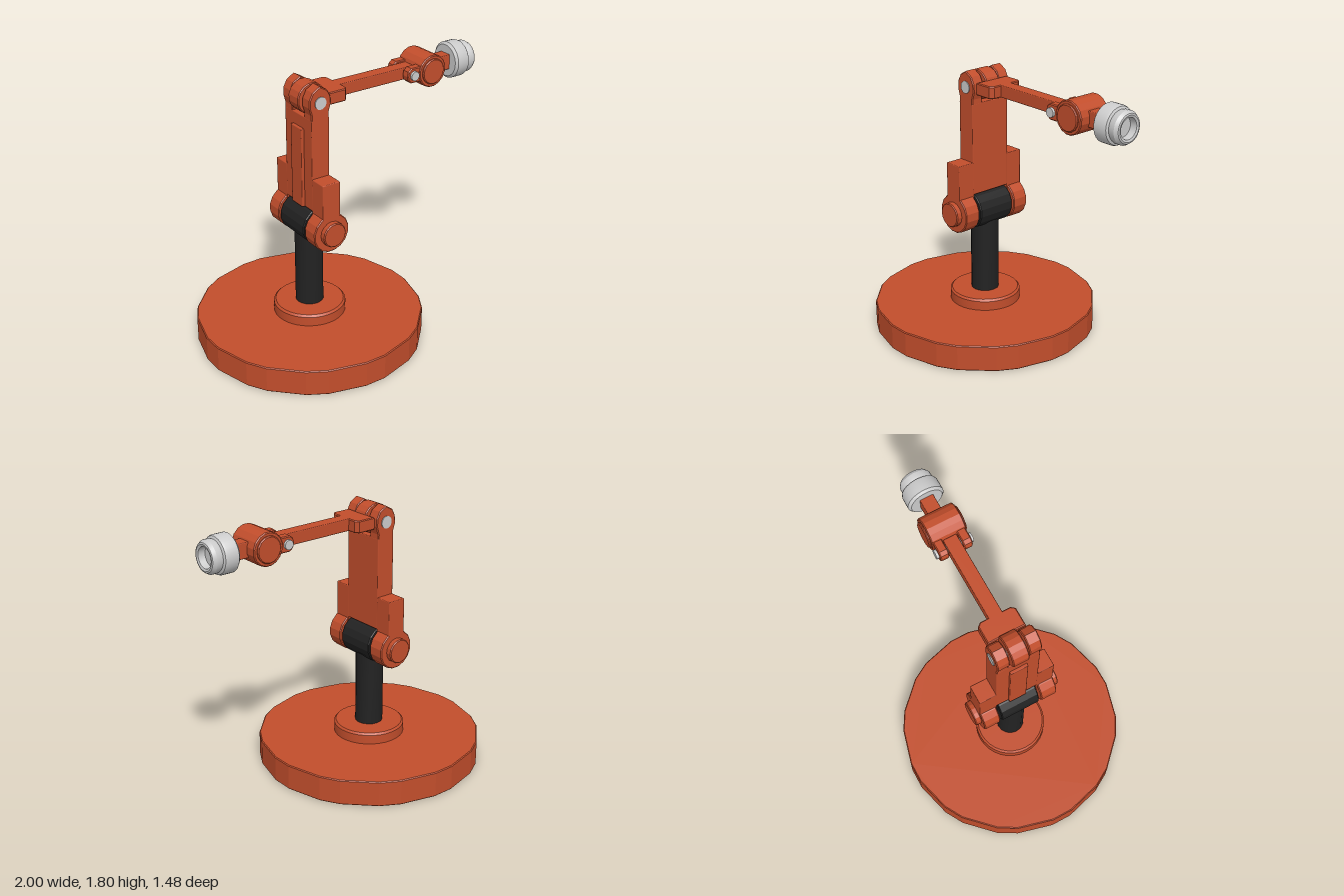
import * as THREE from 'three';
import { toCreasedNormals } from 'three/addons/utils/BufferGeometryUtils.js';
import { RoundedBoxGeometry } from 'three/addons/geometries/RoundedBoxGeometry.js';

export function createModel() {
  const model = new THREE.Group();
  const orange = new THREE.MeshStandardMaterial({ color: 0xc24e2c });
  const black = new THREE.MeshStandardMaterial({ color: 0x222222 });
  const grey = new THREE.MeshStandardMaterial({ color: 0xcccccc });
  const X = -0.26; // column axis
  const ELBOW = 0.85, TOP = 1.68; // joint heights

  function add(name, geometry, material, x = 0, y = 0, z = 0) {
    const mesh = new THREE.Mesh(geometry, material);
    mesh.name = name;
    mesh.position.set(x, y, z);
    model.add(mesh);
    return mesh;
  }

  // Outline in XY extruded along z from z0 to z1 with a fine bevel
  function slab(points, z0, z1, bevel = 0.006) {
    const shape = new THREE.Shape(points.map(([x, y]) => new THREE.Vector2(x, y)));
    const g = new THREE.ExtrudeGeometry(shape, {
      depth: z1 - z0 - 2 * bevel, bevelEnabled: true, bevelThickness: bevel,
      bevelSize: bevel, bevelOffset: -bevel, bevelSegments: 1,
    });
    g.translate(0, 0, z0 + bevel);
    return toCreasedNormals(g, 0.25);
  }

  // Regular polygon whose corners are cut by half-angle `cut`
  function polygon(sides, r, cut = 0) {
    const pts = [];
    for (let i = 0; i < sides; i++) {
      const a = (i / sides) * Math.PI * 2;
      for (const d of cut ? [-cut, cut] : [0]) pts.push([r * Math.cos(a + d), r * Math.sin(a + d)]);
    }
    return pts;
  }

  function box(name, x0, x1, y0, y1, z0, z1) {
    const g = new RoundedBoxGeometry(x1 - x0, y1 - y0, z1 - z0, 1, 0.006);
    return add(name, g, orange, (x0 + x1) / 2, (y0 + y1) / 2, (z0 + z1) / 2);
  }

  function pin(name, r, length, material, x, y, sides = 24) {
    const g = toCreasedNormals(new THREE.CylinderGeometry(r, r, length, sides), 0.6);
    return add(name, g.rotateX(Math.PI / 2), material, x, y, 0);
  }

  function lathe(profile, segments) {
    const g = new THREE.LatheGeometry(profile.map(([r, y]) => new THREE.Vector2(r, y)), segments);
    return toCreasedNormals(g, 0.5);
  }

  // Base, collar and post
  const base = slab(polygon(12, 0.743, 0.095), 0.005, 0.18);
  add('base', base.rotateX(-Math.PI / 2), orange, X, 0, 0);
  add('collar', lathe([[0, 0.17], [0.235, 0.17], [0.235, 0.243], [0.222, 0.256], [0, 0.256]], 32), orange, X);
  add('post', toCreasedNormals(new THREE.CylinderGeometry(0.092, 0.092, 0.57, 16), 0.5), black, X, 0.535);

  // Lower joint: dark barrel between two knuckles with end caps
  add('barrel', slab(polygon(8, 0.128, 0.2), -0.135, 0.135), black, X, ELBOW);
  for (const s of [-1, 1]) {
    const span = (a, b) => (s > 0 ? [a, b] : [-b, -a]);
    add('knuckle', slab(polygon(8, 0.13, 0.2), ...span(0.15, 0.262)), orange, X, ELBOW);
    add('knuckleCap', slab(polygon(16, 0.082), ...span(0.25, 0.3)), orange, X, ELBOW);
    // Cheek rising from the knuckle
    box('cheek', X - 0.064, X + 0.064, ELBOW, 1.19, ...span(0.14, 0.262));
    // Upper fork prong with a rounded tip
    const prong = [[-0.063, 1.5], [0.063, 1.5], [0.063, 1.61], [0.078, 1.66], [0.075, 1.71],
      [0.052, 1.755], [0, 1.785], [-0.052, 1.755], [-0.075, 1.71], [-0.078, 1.66], [-0.063, 1.61]];
    add('forkProng', slab(prong, ...span(0.065, 0.147)), orange, X);
    // Wrist ear around the small pin
    const ear = [[0.6, -0.05], [0.6, 0.05], [0.46, 0.05], [0.437, 0.03], [0.43, 0],
      [0.437, -0.03], [0.46, -0.05]].reverse();
    add('wristEar', slab(ear.reverse(), ...span(0.05, 0.108)), orange, 0, TOP);
    add('wristCap', slab(polygon(16, 0.085), ...span(0.1, 0.127)), orange, 0.625, TOP);
  }
  pin('lowerShaft', 0.06, 0.4, black, X, ELBOW);

  // Upright arm with a raised back panel
  box('uprightArm', X - 0.064, X + 0.064, 0.97, 1.58, -0.147, 0.147);
  box('backPanel', X - 0.083, X - 0.055, 0.97, 1.5, -0.06, 0.06);

  // Top joint
  pin('topPin', 0.04, 0.306, grey, X, TOP);
  add('forearmHub', slab(polygon(8, 0.1, 0.2), -0.054, 0.054), orange, X, TOP);

  // Forearm: stepped block, then a slim beam
  box('forearmRoot', -0.3, -0.12, 1.64, 1.72, -0.052, 0.052);
  const block = slab([[-0.18, -0.125], [-0.06, -0.125], [-0.04, -0.1], [-0.04, 0.1],
    [-0.06, 0.125], [-0.18, 0.125]], 1.64, 1.72);
  add('forearmBlock', block.rotateX(-Math.PI / 2), orange);
  box('forearmBeam', -0.08, 0.527, 1.64, 1.72, -0.045, 0.045);

  // Wrist
  pin('wristPin', 0.03, 0.25, grey, 0.48, TOP);
  add('wrist', slab(polygon(8, 0.107, 0.2), -0.115, 0.115), orange, 0.625, TOP);
  box('neck', 0.68, 0.84, 1.63, 1.73, -0.045, 0.045);

  // Tool head: turned part with a recessed end
  const head = lathe([[0, 0.82], [0.105, 0.82], [0.121, 0.835], [0.121, 0.91], [0.115, 0.925],
    [0.1, 0.932], [0.104, 0.945], [0.104, 0.975], [0.09, 0.997], [0.08, 1], [0.066, 0.995],
    [0.062, 0.95], [0, 0.95]], 32);
  add('toolHead', head.rotateZ(-Math.PI / 2), grey, 0, TOP);

  return model;
}
